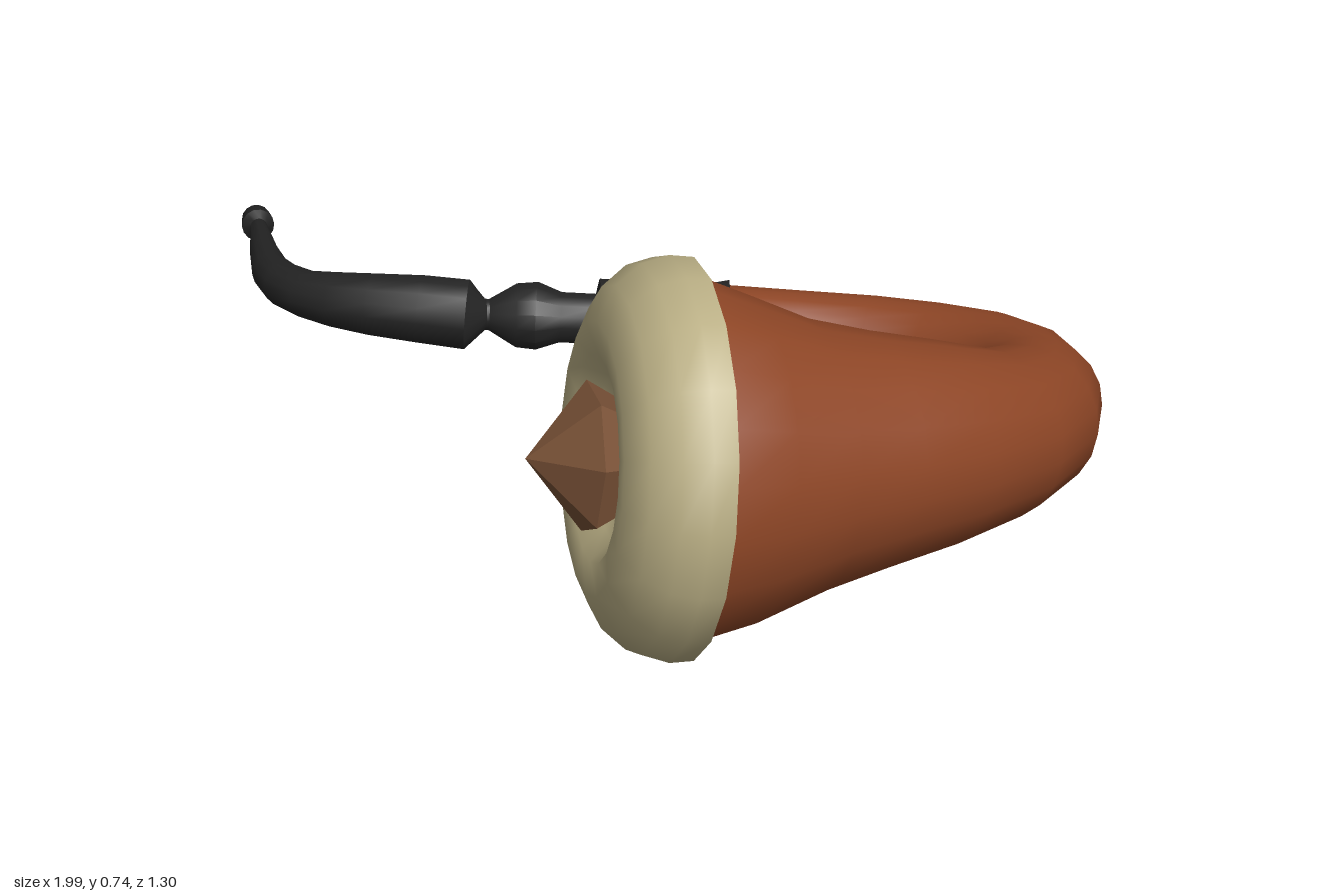
import * as THREE from 'three';
import { toCreasedNormals } from 'three/addons/utils/BufferGeometryUtils.js';

const mat = (name, color) => {
  const m = new THREE.MeshStandardMaterial({ color });
  m.name = name;
  return m;
};

// Sweeps a round section along stations [x, y, z, radius]
function sweep(stations, sides) {
  const pts = stations.map(s => new THREE.Vector3(s[0], s[1], s[2]));
  const up = new THREE.Vector3(0, 1, 0);
  const pos = [], idx = [];
  pts.forEach((p, i) => {
    const a = pts[Math.max(i - 1, 0)], b = pts[Math.min(i + 1, pts.length - 1)];
    const t = b.clone().sub(a).normalize();
    const side = up.clone().cross(t).normalize();
    const top = t.clone().cross(side);
    for (let j = 0; j < sides; j++) {
      const ang = j / sides * Math.PI * 2, r = stations[i][3];
      const v = p.clone().addScaledVector(side, r * Math.cos(ang)).addScaledVector(top, r * Math.sin(ang));
      pos.push(v.x, v.y, v.z);
      if (i < pts.length - 1) {
        const k = (j + 1) % sides, o = i * sides, n = o + sides;
        idx.push(o + j, o + k, n + j, o + k, n + k, n + j);
      }
    }
  });
  const g = new THREE.BufferGeometry();
  g.setAttribute('position', new THREE.Float32BufferAttribute(pos, 3));
  g.setIndex(idx);
  g.computeVertexNormals();
  return g;
}

const lathe = (profile, sides) =>
  new THREE.LatheGeometry(profile.map(p => new THREE.Vector2(p[0], p[1])), sides);

export function createModel() {
  const group = new THREE.Group();
  const gourdMat = mat('reddish brown gourd', 0x8e4626);
  const creamMat = mat('cream cap', 0xb9ae84);
  const blackMat = mat('black stem', 0x242424);
  const tobaccoMat = mat('dull brown filling', 0x7a5237);

  const add = (name, geo, material, parent = group) => {
    const m = new THREE.Mesh(geo, material);
    m.name = name;
    parent.add(m);
    return m;
  };

  // Curved gourd body, from the wide rim round to the narrow shank
  add('gourdBody', sweep([
    [0.33, 0.373, 0.327, 0.335],
    [0.37, 0.37, 0.30, 0.335],
    [0.46, 0.355, 0.235, 0.30],
    [0.56, 0.345, 0.155, 0.25],
    [0.65, 0.335, 0.075, 0.22],
    [0.745, 0.317, -0.03, 0.192],
    [0.82, 0.292, -0.15, 0.163],
    [0.847, 0.272, -0.27, 0.147],
    [0.835, 0.26, -0.36, 0.137],
    [0.785, 0.253, -0.445, 0.124],
    [0.70, 0.247, -0.508, 0.11],
    [0.58, 0.242, -0.542, 0.097],
    [0.45, 0.24, -0.548, 0.088],
    [0.30, 0.245, -0.518, 0.081],
    [0.155, 0.255, -0.468, 0.079],
  ], 20), gourdMat);

  // Cap and filling share the tilted bowl axis
  const bowl = new THREE.Group();
  bowl.name = 'bowlTop';
  bowl.position.set(0.37, 0.37, 0.30);
  bowl.quaternion.setFromUnitVectors(
    new THREE.Vector3(0, 1, 0), new THREE.Vector3(-0.83, 0.1, 0.56).normalize());
  group.add(bowl);

  const cap = lathe([
    [0.30, 0], [0.367, 0], [0.37, 0.045], [0.355, 0.095], [0.315, 0.142],
    [0.25, 0.174], [0.19, 0.168], [0.15, 0.13], [0.10, 0.10], [0, 0.095],
  ], 18);
  add('bowlCap', toCreasedNormals(cap, 1.1), creamMat, bowl);

  const filling = lathe([[0.09, 0.09], [0.142, 0.18], [0, 0.295]], 7);
  add('tobaccoFilling', toCreasedNormals(filling, 0.3), tobaccoMat, bowl);

  // Stem: flanged sleeve, collar bead, neck and curved mouthpiece
  const sleeve = sweep([
    [0.172, 0.255, -0.474, 0.001], [0.17, 0.255, -0.473, 0.09],
    [0.125, 0.257, -0.454, 0.08], [-0.07, 0.266, -0.372, 0.083],
    [-0.076, 0.266, -0.369, 0.052], [-0.14, 0.27, -0.342, 0.052],
    [-0.185, 0.272, -0.326, 0.07], [-0.225, 0.272, -0.312, 0.066],
    [-0.275, 0.275, -0.288, 0.032], [-0.3, 0.277, -0.275, 0.034],
  ], 14);
  add('stemSleeve', toCreasedNormals(sleeve, 0.6), blackMat);

  const mouthpiece = sweep([
    [-0.278, 0.278, -0.28, 0.03], [-0.312, 0.28, -0.262, 0.072],
    [-0.40, 0.287, -0.237, 0.07], [-0.50, 0.288, -0.217, 0.064],
    [-0.58, 0.287, -0.21, 0.057], [-0.65, 0.283, -0.218, 0.049],
    [-0.72, 0.276, -0.255, 0.046], [-0.78, 0.267, -0.315, 0.04],
    [-0.85, 0.254, -0.42, 0.03], [-0.94, 0.236, -0.57, 0.018],
    [-0.949, 0.232, -0.584, 0.035], [-0.973, 0.228, -0.622, 0.031],
    [-0.985, 0.226, -0.642, 0.019], [-0.986, 0.226, -0.644, 0.001],
  ], 14);
  add('mouthpiece', toCreasedNormals(mouthpiece, 0.6), blackMat);

  return group;
}
